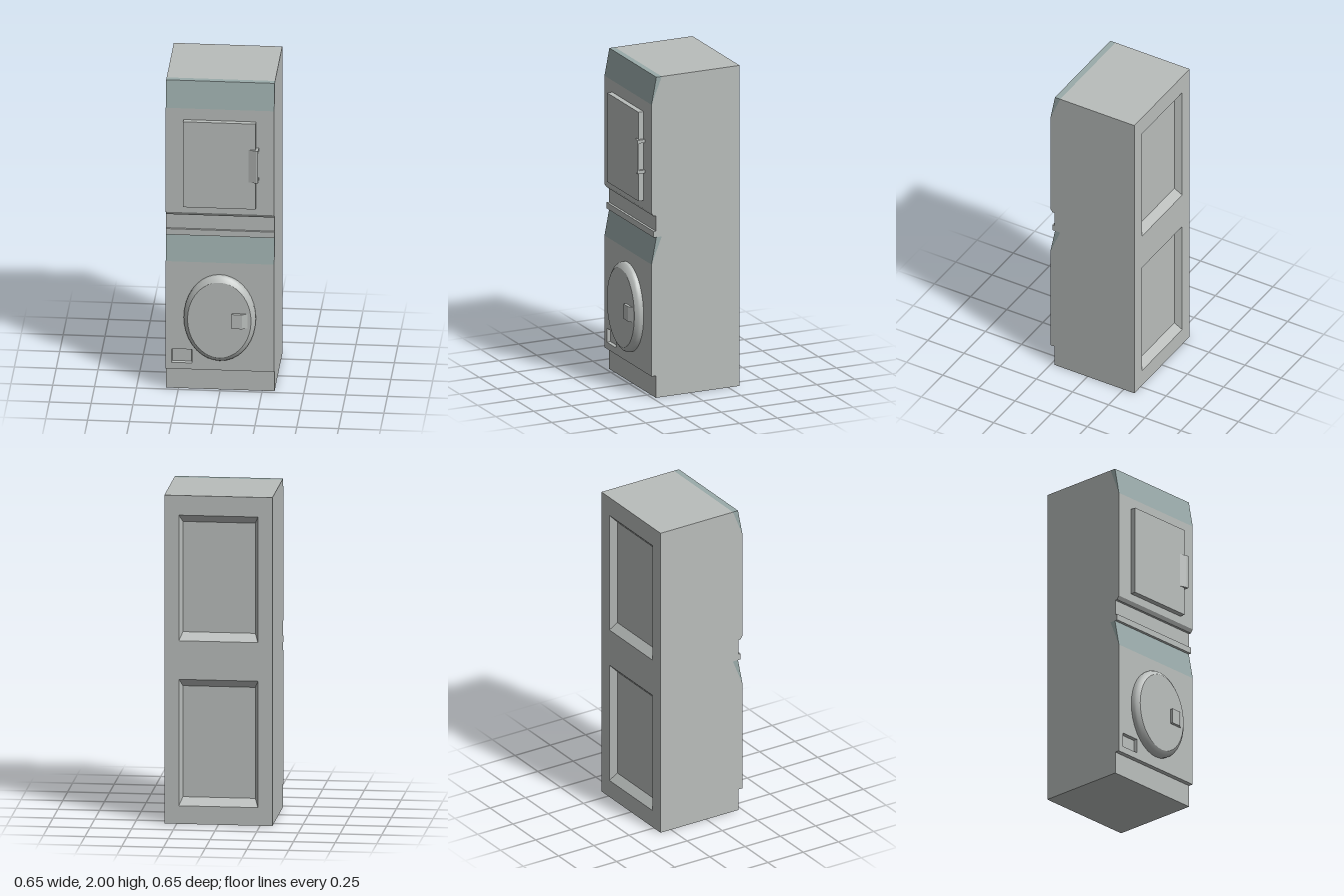
import * as THREE from 'three';
import { toCreasedNormals } from 'three/addons/utils/BufferGeometryUtils.js';

const HALF = 0.324, FRONT = 0.257, BACK = -0.324;
const BACK_DEPTH = 0.043, SLOT_DEPTH = 0.02;

const shapeOf = (pts) => new THREE.Shape(pts.map(([a, b]) => new THREE.Vector2(a, b)));
const rect = (x0, x1, y0, y1) => [[x0, y0], [x1, y0], [x1, y1], [x0, y1]];

// Side profile of (z, y) points swept across the full width
function sideProfile(pts) {
  const g = new THREE.ExtrudeGeometry(shapeOf(pts), { depth: 2 * HALF, bevelEnabled: false });
  return g.rotateY(-Math.PI / 2).translate(HALF, 0, 0);
}

// Plan outline of (x, z) points swept upwards from y0 to y1
function planProfile(pts, y0, y1) {
  const g = new THREE.ExtrudeGeometry(shapeOf(pts.map(([x, z]) => [x, -z])), { depth: y1 - y0, bevelEnabled: false });
  return g.rotateX(-Math.PI / 2).translate(0, y0, 0);
}

// Flat plate facing +z with rectangular holes
function plate(outline, holes, depth) {
  const s = shapeOf(outline);
  holes.forEach((h) => s.holes.push(shapeOf(h)));
  return new THREE.ExtrudeGeometry(s, { depth, bevelEnabled: false });
}

// Sloping walls of a recess, from an outer rectangle at z = 0 to a smaller one behind it
function recessWalls([x0, x1, y0, y1], inX, inY, depth) {
  const outer = rect(x0, x1, y0, y1);
  const inner = rect(x0 + inX, x1 - inX, y0 + inY, y1 - inY);
  const pos = [];
  for (let k = 0; k < 4; k++) {
    const n = (k + 1) % 4;
    const a = [...outer[k], 0], b = [...outer[n], 0], c = [...inner[n], -depth], d = [...inner[k], -depth];
    pos.push(...a, ...b, ...c, ...a, ...c, ...d);
  }
  const g = new THREE.BufferGeometry();
  g.setAttribute('position', new THREE.Float32BufferAttribute(pos, 3));
  g.computeVertexNormals();
  return g;
}

export function createModel() {
  const model = new THREE.Group();
  const casing = new THREE.MeshStandardMaterial({ color: 0xb9bdbb });
  casing.name = 'casingGrey';
  const panel = new THREE.MeshStandardMaterial({ color: 0x9aabaa });
  panel.name = 'panelTeal';

  const add = (name, geometry, material = casing) => {
    const m = new THREE.Mesh(geometry, material);
    m.name = name;
    model.add(m);
    return m;
  };

  // Cabinet: stepped plinth, washer front, waist ledge and dryer front
  const zb = BACK + BACK_DEPTH, zf = FRONT - SLOT_DEPTH;
  add('cabinet', sideProfile([
    [zb, 0], [0.228, 0], [0.228, 0.137], [zf, 0.137], [zf, 0.835], [FRONT, 0.835],
    [0.189, 1.002], [0.243, 1.002], [0.243, 1.04], [0.228, 1.04], [0.228, 1.135],
    [0.243, 1.135], [FRONT, 1.156], [FRONT, 1.832], [0.189, 2], [zb, 2],
  ]));

  // Sloping control panels
  for (const [name, y0, y1] of [['washerControlPanel', 0.835, 1.002], ['dryerControlPanel', 1.832, 2]]) {
    add(name, sideProfile([[FRONT, y0], [0.225, y1], [0.189, y1]]), panel);
  }

  // Washer front with the filter hatch recess
  const slot = [-0.29, -0.167, 0.178, 0.266];
  add('washerFront', plate(rect(-HALF, HALF, 0.137, 0.835), [rect(...slot)], SLOT_DEPTH)).position.z = zf;
  add('filterRecess', recessWalls(slot, 0.004, 0.004, SLOT_DEPTH)).position.z = FRONT;

  // Back plate with two bevelled recesses
  const recesses = [[-0.237, 0.237, 0.11, 0.88], [-0.237, 0.237, 1.115, 1.88]];
  const back = add('backPlate', plate(rect(-HALF, HALF, 0, 2), recesses.map((r) => rect(...r)), BACK_DEPTH));
  back.position.z = BACK;
  for (const r of recesses) {
    const walls = add('backRecess', recessWalls(r, 0.02, 0.047, BACK_DEPTH));
    walls.rotation.y = Math.PI;
    walls.position.z = BACK;
  }

  // Dryer door
  const door = add('dryerDoor', new THREE.BoxGeometry(0.433, 0.555, 0.034));
  door.position.set(-0.001, 1.482, FRONT + 0.017);

  // Dryer handle: sloped grip plate between two end lugs
  const lug = [[0.166, 0.288], [0.218, 0.306], [0.232, 0.306], [0.232, FRONT], [0.166, FRONT]];
  add('dryerHandleLug', planProfile(lug, 1.38, 1.4));
  add('dryerHandleLug', planProfile(lug, 1.57, 1.59));
  add('dryerHandleGrip', planProfile(
    [[0.166, 0.288], [0.218, 0.306], [0.232, 0.306], [0.232, 0.297], [0.214, 0.297], [0.19, 0.288]], 1.4, 1.57));

  // Oval washer door
  const profile = [[0.205, 0], [0.215, 0], [0.215, 0.02], [0.209, 0.033], [0.19, 0.049], [0, 0.049]]
    .map(([r, y]) => new THREE.Vector2(r, y));
  const oval = new THREE.LatheGeometry(profile, 36).rotateX(Math.PI / 2).scale(1, 1.285, 1);
  add('washerDoor', toCreasedNormals(oval, 0.5)).position.set(0, 0.483, FRONT);

  // Washer door handle
  add('washerHandle', planProfile([[0.075, 0.3], [0.075, 0.324], [0.138, 0.324], [0.168, 0.306], [0.168, 0.3]], 0.437, 0.53));

  return model;
}
